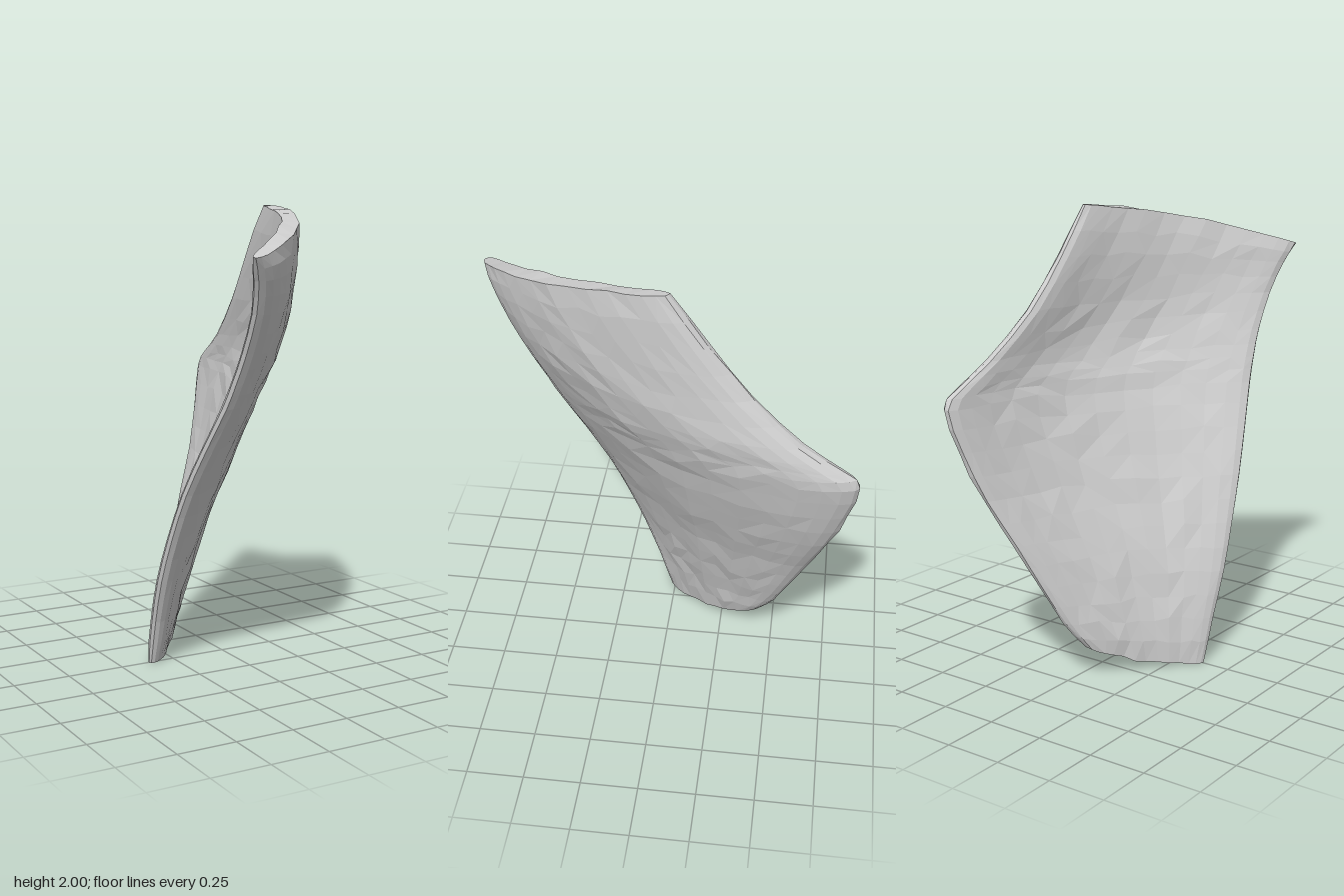
import * as THREE from 'three';

// Rows from bottom to top: front edge point, back edge point, [outward bulge, thickness]
const ROWS = [
  [[-0.35, 0.0, 0.02], [-0.03, 0.14, -0.42], [0.06, 0.07]],
  [[-0.358, 0.2, 0.08], [0.03, 0.26, -0.5], [0.08, 0.08]],
  [[-0.365, 0.4, 0.155], [0.1, 0.43, -0.575], [0.11, 0.09]],
  [[-0.355, 0.6, 0.235], [0.175, 0.62, -0.65], [0.14, 0.09]],
  [[-0.335, 0.8, 0.325], [0.265, 0.82, -0.73], [0.17, 0.095]],
  [[-0.298, 1.0, 0.43], [0.33, 1.03, -0.8], [0.195, 0.1]],
  [[-0.26, 1.18, 0.53], [0.37, 1.21, -0.84], [0.21, 0.1]],
  [[-0.245, 1.29, 0.585], [0.365, 1.285, -0.76], [0.21, 0.1]],
  [[-0.235, 1.41, 0.645], [0.345, 1.38, -0.6], [0.205, 0.1]],
  [[-0.24, 1.57, 0.73], [0.305, 1.565, -0.38], [0.19, 0.1]],
  [[-0.27, 1.7, 0.795], [0.28, 1.78, -0.2], [0.175, 0.1]],
  [[-0.31, 1.79, 0.84], [0.265, 1.995, -0.04], [0.16, 0.09]],
];
const STEPS = 22; // rows along the height
const N = 16;     // columns from front edge to back edge

function seeded(seed) {
  return () => (seed = (seed * 16807) % 2147483647) / 2147483647;
}

function buildShard() {
  const rand = seeded(41);
  const jitter = (a) => (rand() - 0.5) * 2 * a;
  const curve = (j) => new THREE.CatmullRomCurve3(
    ROWS.map((r) => new THREE.Vector3(r[j][0], r[j][1], r[j][2] ?? 0)), false, 'catmullrom', 0.5);
  const front = curve(0), back = curve(1), shape = curve(2);
  const up = new THREE.Vector3(0, 1, 0);
  const pos = [], idx = [];
  const loop = 2 * N;

  // Closed cross-sections: along the outer face, then back along the inner face
  for (let i = 0; i <= STEPS; i++) {
    const v = i / STEPS;
    const f = front.getPoint(v), b = back.getPoint(v), s = shape.getPoint(v);
    const normal = up.clone().cross(f.clone().sub(b)).normalize();
    const end = i === 0 || i === STEPS;
    for (let m = 0; m < loop; m++) {
      const k = m <= N ? m : loop - m;
      const u = 0.5 - 0.5 * Math.cos((Math.PI * k) / N);
      // Blunt front and back edges
      const half = 0.5 * s.y * Math.sqrt(Math.max(0, 1 - Math.abs(2 * u - 1) ** 12));
      const bow = 4 * u * (1 - u);
      const side = m <= N ? 1 : -1;
      const p = f.clone().lerp(b, u).addScaledVector(
        normal, (s.x - s.y / 2) * bow + side * half * (end ? 0.75 : 1) + jitter(0.006) * bow);
      // Arched upper rim, sagging lower rim and uneven facets
      const rim = 0.03 * Math.max(0, v - 0.8) * 5 - 0.035 * Math.max(0, 0.1 - v) * 10;
      p.y += (rim + jitter(end ? 0.008 : 0.014)) * bow;
      if (k === N) p.z += jitter(0.008);
      pos.push(p.x, p.y, p.z);
    }
  }

  const quad = (a, b, c, d, flip) => flip
    ? idx.push(a, b, d, b, c, d)
    : idx.push(a, b, c, a, c, d);

  for (let i = 0; i < STEPS; i++) {
    for (let m = 0; m < loop; m++) {
      const n = (m + 1) % loop, r = i * loop, t = r + loop;
      quad(r + m, r + n, t + n, t + m, rand() > 0.5);
    }
  }
  // Broken ends: strips joining the outer and inner edges
  const top = STEPS * loop;
  for (let k = 0; k < N; k++) {
    const a = k, b = k + 1, c = (loop - k - 1) % loop, d = (loop - k) % loop;
    quad(top + a, top + b, top + c, top + d, k === 0);
    quad(d, c, b, a, k === 0);
  }

  const geo = new THREE.BufferGeometry();
  geo.setAttribute('position', new THREE.Float32BufferAttribute(pos, 3));
  geo.setIndex(idx);
  // Centre it and stand it on the ground
  geo.computeBoundingBox();
  const { min, max } = geo.boundingBox;
  geo.translate(-(min.x + max.x) / 2, -min.y, -(min.z + max.z) / 2);
  geo.computeVertexNormals();
  return geo;
}

export function createModel() {
  const group = new THREE.Group();
  group.name = 'curvedFragment';
  const shard = new THREE.Mesh(
    buildShard(),
    new THREE.MeshStandardMaterial({ color: 0xcccccc, flatShading: true }));
  shard.name = 'shard';
  group.add(shard);
  return group;
}
